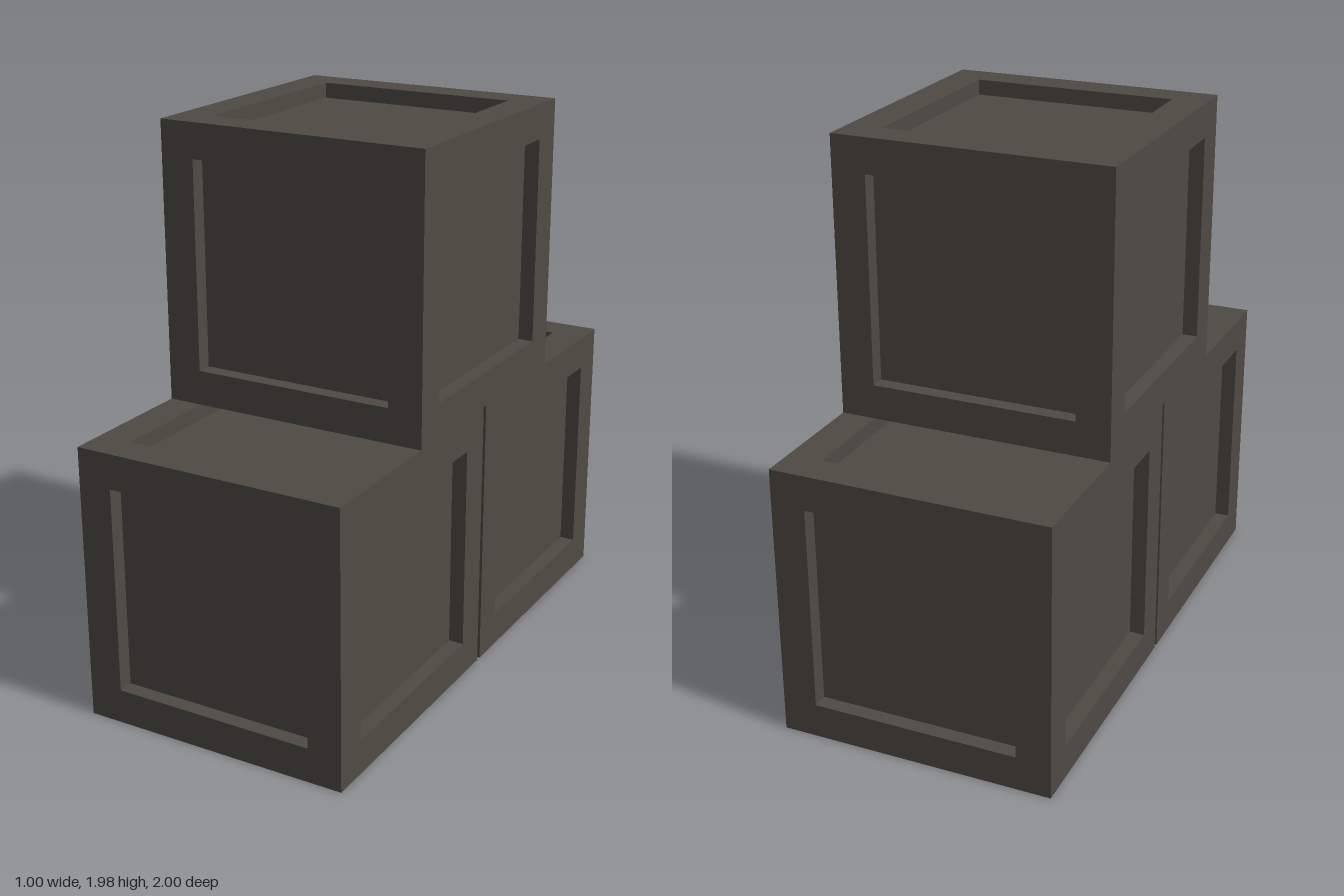
import * as THREE from 'three';
import { mergeGeometries } from 'three/addons/utils/BufferGeometryUtils.js';

const SIZE = 0.9875;   // crate edge length
const OPENING = 0.74;  // width of the recessed panel
const DEPTH = 0.055;   // recess depth

// One crate side facing +z: flat border, recess walls and sunken panel, from square loops
function crateSide() {
  const loops = [[SIZE / 2, SIZE / 2], [OPENING / 2, SIZE / 2], [OPENING / 2, SIZE / 2 - DEPTH]]
    .map(([h, z]) => [[-h, -h, z], [h, -h, z], [h, h, z], [-h, h, z]]);
  const points = [];
  const quad = (a, b, c, d) => points.push(...a, ...b, ...c, ...a, ...c, ...d);
  for (let i = 0; i < 2; i++) {
    for (let k = 0; k < 4; k++) {
      const n = (k + 1) % 4;
      quad(loops[i][k], loops[i][n], loops[i + 1][n], loops[i + 1][k]);
    }
  }
  quad(...loops[2]);
  const geometry = new THREE.BufferGeometry();
  geometry.setAttribute('position', new THREE.Float32BufferAttribute(points, 3));
  geometry.computeVertexNormals();
  return geometry;
}

// Six sides turned around the cube
function crateGeometry() {
  const sides = [];
  for (let i = 0; i < 4; i++) sides.push(crateSide().rotateY(i * Math.PI / 2));
  for (const s of [-1, 1]) sides.push(crateSide().rotateX(s * Math.PI / 2));
  return mergeGeometries(sides);
}

export function createModel() {
  const group = new THREE.Group();
  group.name = 'crateStack';
  const material = new THREE.MeshStandardMaterial({ color: 0x4f4a43 });
  material.name = 'dark grey brown';
  const geometry = crateGeometry();

  // Two crates on the ground, one on top
  const crates = [
    ['frontCrate', -0.003, 0, 0.5035],
    ['backCrate', 0.003, 0, -0.5035],
    ['topCrate', 0, 1, -0.02],
  ];
  for (const [name, x, level, z] of crates) {
    const crate = new THREE.Mesh(geometry, material);
    crate.name = name;
    crate.position.set(x, SIZE * (level + 0.5), z);
    crate.rotation.y = -0.006;
    group.add(crate);
  }
  return group;
}
